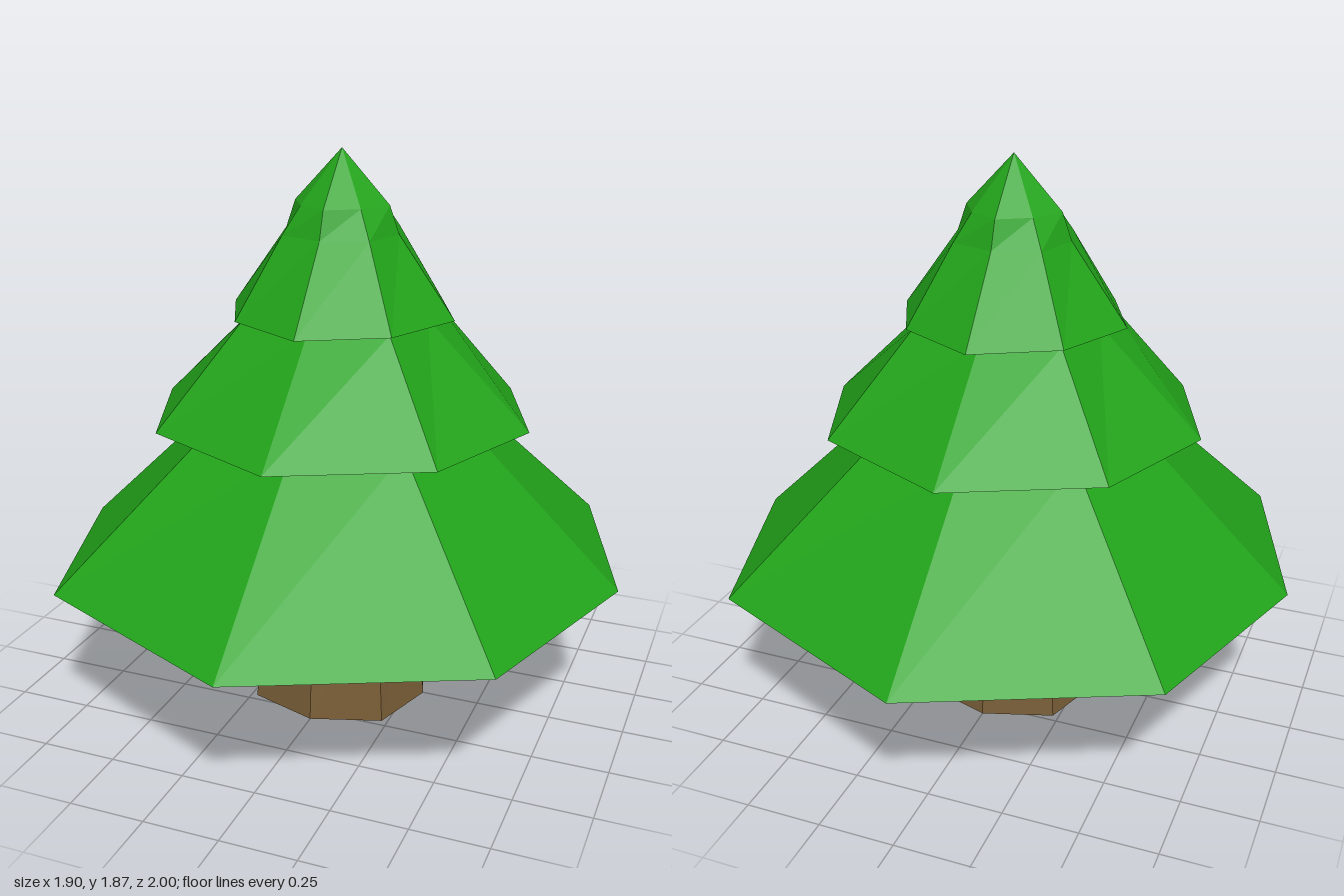
import * as THREE from 'three';

const leafMat = new THREE.MeshStandardMaterial({ color: 0x22a31a, flatShading: true });
const woodMat = new THREE.MeshStandardMaterial({ color: 0x7a5f38, flatShading: true });

// Eight-sided ring: rx and rz on the axes, dx and dz at the diagonals
function ring(y, rx, rz, dx, dz) {
  return [[0, rz], [dx, dz], [rx, 0], [dx, -dz], [0, -rz], [-dx, -dz], [-rx, 0], [-dx, dz]]
    .map(([x, z]) => [x, y, z]);
}

// Faceted skin through rings; listing them upward faces the skin outward
function loft(name, material, rings) {
  const pos = [];
  for (let r = 0; r < rings.length - 1; r++) {
    for (let i = 0; i < 8; i++) {
      const j = (i + 1) % 8;
      const a = rings[r][i], b = rings[r][j], c = rings[r + 1][j], d = rings[r + 1][i];
      pos.push(...a, ...b, ...c, ...a, ...c, ...d);
    }
  }
  const geo = new THREE.BufferGeometry();
  geo.setAttribute('position', new THREE.Float32BufferAttribute(pos, 3));
  geo.computeVertexNormals();
  const mesh = new THREE.Mesh(geo, material);
  mesh.name = name;
  return mesh;
}

export function createModel() {
  const tree = new THREE.Group();
  tree.name = 'tree';

  // Tapered trunk with a closed foot
  const trunkTop = ring(0.51, 0.265, 0.26, 0.2, 0.2);
  tree.add(loft('trunk', woodMat, [
    ring(0, 0, 0, 0, 0), ring(0, 0.305, 0.3, 0.23, 0.225), trunkTop,
  ]));

  // Branch tiers from bottom to top, each a list of rings
  const tiers = {
    lowerBranches: [ring(0.51, 0.95, 1, 0.725, 0.675), ring(1.01, 0.43, 0.43, 0.325, 0.315)],
    middleBranches: [ring(1.01, 0.635, 0.65, 0.465, 0.43), ring(1.35, 0.29, 0.29, 0.245, 0.235)],
    topBranches: [
      ring(1.35, 0.38, 0.4, 0.26, 0.26), ring(1.61, 0.192, 0.192, 0.145, 0.145),
      ring(1.7, 0.16, 0.16, 0.1, 0.1), ring(1.87, 0, 0, 0, 0),
    ],
  };

  // Each tier has a brown underside reaching in to the part below it
  let below = trunkTop;
  for (const [name, rings] of Object.entries(tiers)) {
    tree.add(loft(name, leafMat, rings));
    tree.add(loft(name + 'Underside', woodMat, [below, rings[0]]));
    below = rings[rings.length - 1];
  }
  return tree;
}
